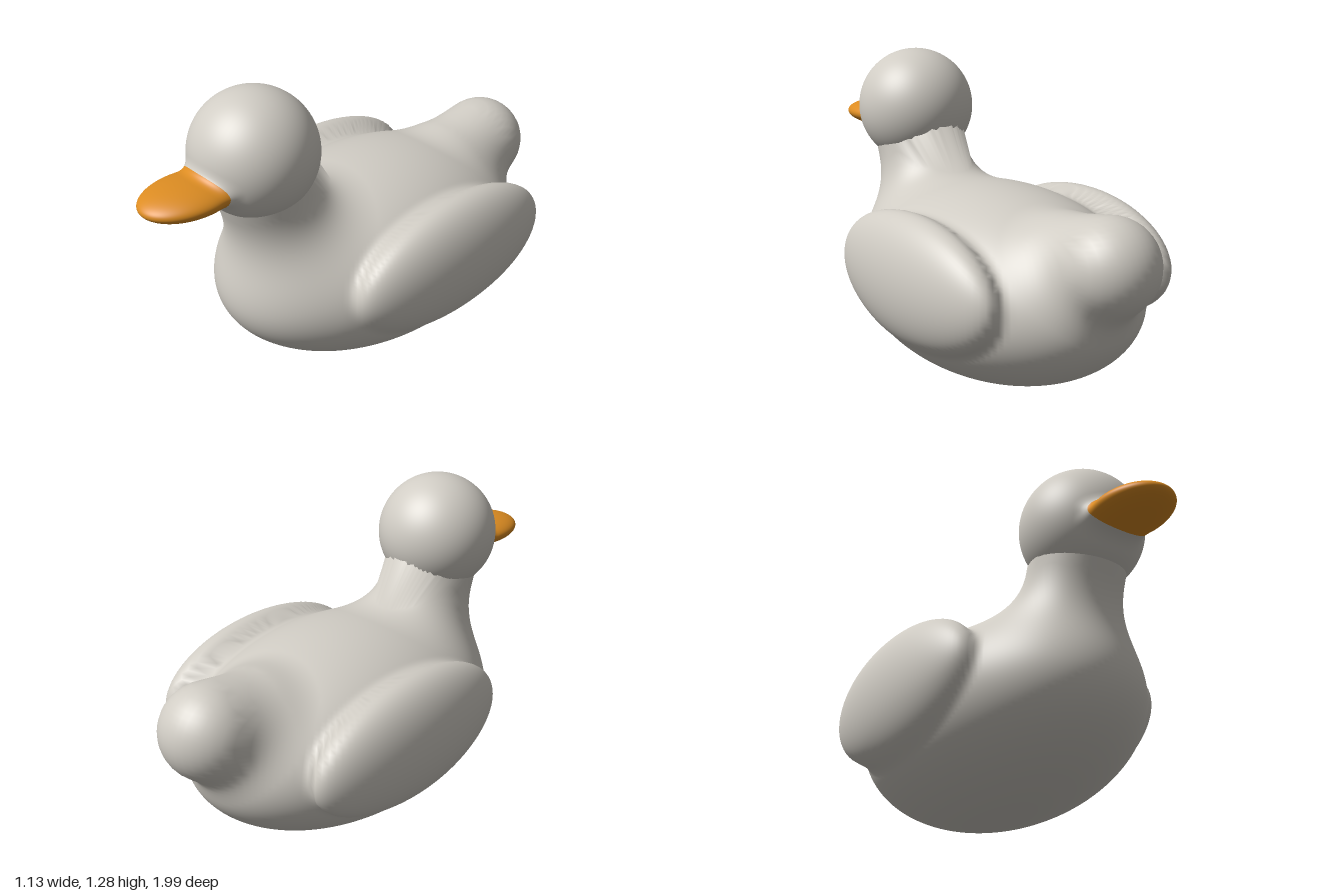
import * as THREE from 'three';

const V = (x, y, z) => new THREE.Vector3(x, y, z);

// Distance rules for the soft rounded forms
function ellipsoid(c, r) {
  return (p) => {
    const x = (p.x - c.x) / r.x, y = (p.y - c.y) / r.y, z = (p.z - c.z) / r.z;
    const k0 = Math.hypot(x, y, z);
    const k1 = Math.hypot(x / r.x, y / r.y, z / r.z) || 1e-6;
    return k0 * (k0 - 1) / k1;
  };
}

function capsule(a, b, ra, rb) {
  const ab = b.clone().sub(a), len2 = ab.lengthSq();
  return (p) => {
    const x = p.x - a.x, y = p.y - a.y, z = p.z - a.z;
    const h = THREE.MathUtils.clamp((x * ab.x + y * ab.y + z * ab.z) / len2, 0, 1);
    return Math.hypot(x - ab.x * h, y - ab.y * h, z - ab.z * h) - (ra + (rb - ra) * h);
  };
}

// Filleted union; k sets the size of the fillet
function blend(f, g, k) {
  return (p) => {
    const a = f(p), b = g(p);
    const h = Math.max(k - Math.abs(a - b), 0) / k;
    return Math.min(a, b) - h * h * k / 4;
  };
}

// Moves the vertices of a direction sphere along rays onto a form, with smooth normals
function shrinkWrap(geometry, centre, form, reach) {
  const pos = geometry.attributes.position, nor = geometry.attributes.normal;
  const dir = V(0, 0, 0), p = V(0, 0, 0), n = V(0, 0, 0), q = V(0, 0, 0);
  const e = 0.002;
  for (let i = 0; i < pos.count; i++) {
    dir.fromBufferAttribute(pos, i).normalize();
    let t = reach;
    for (let s = 0; s < 160; s++) {
      const d = form(p.copy(centre).addScaledVector(dir, t));
      if (Math.abs(d) < 1e-5) break;
      t -= d * 0.65;
    }
    p.copy(centre).addScaledVector(dir, t);
    for (const axis of ['x', 'y', 'z']) {
      q.copy(p)[axis] += e;
      const hi = form(q);
      q[axis] -= 2 * e;
      n[axis] = hi - form(q);
    }
    n.normalize();
    pos.setXYZ(i, p.x, p.y, p.z);
    nor.setXYZ(i, n.x, n.y, n.z);
  }
  return geometry;
}

// Direction sphere with its pole to the front, widened in x around the beak
function frontSphere(rows, start, length) {
  const g = new THREE.SphereGeometry(1, 112, rows, 0, Math.PI * 2, start, length).rotateX(Math.PI / 2);
  const pos = g.attributes.position;
  for (let i = 0; i < pos.count; i++) {
    const z = Math.max(pos.getZ(i), 0);
    pos.setX(i, pos.getX(i) * (1 + 1.6 * z * z));
  }
  return g;
}

export function createModel() {
  const grey = new THREE.MeshStandardMaterial({ color: 0xd0ccc4 });
  grey.name = 'warm grey';
  const orange = new THREE.MeshStandardMaterial({ color: 0xdc8c22 });
  orange.name = 'orange';

  const group = new THREE.Group();
  group.name = 'duck';
  const add = (name, geometry, material) => {
    const mesh = new THREE.Mesh(geometry, material);
    mesh.name = name;
    group.add(mesh);
  };

  // Body with tail, neck and mirrored wings in one skin
  let body = ellipsoid(V(0, 0.4, -0.1), V(0.5, 0.395, 0.74));
  body = blend(body, capsule(V(0, 0.57, -0.6), V(0, 0.618, -0.805), 0.2, 0.19), 0.1);
  body = blend(body, capsule(V(0, 0.5, 0.34), V(0, 1.0, 0.5), 0.185, 0.195), 0.2);
  for (const side of [1, -1]) {
    body = blend(body, ellipsoid(V(side * 0.42, 0.48, -0.165), V(0.145, 0.26, 0.515)), 0.045);
  }
  add('body', shrinkWrap(new THREE.SphereGeometry(1, 192, 128), V(0, 0.45, -0.05), body, 1.4), grey);

  // Head and beak share one filleted form, divided at a ring around the beak root
  const face = blend(
    ellipsoid(V(0, 1.04, 0.5), V(0.25, 0.25, 0.25)),
    ellipsoid(V(0, 0.973, 0.8), V(0.145, 0.056, 0.2)), 0.05);
  const faceCentre = V(0, 0.98, 0.5);
  const root = 0.25;
  add('head', shrinkWrap(frontSphere(80, root, Math.PI - root), faceCentre, face, 0.8), grey);
  add('beak', shrinkWrap(frontSphere(48, 0, root), faceCentre, face, 0.8), orange);

  return group;
}
